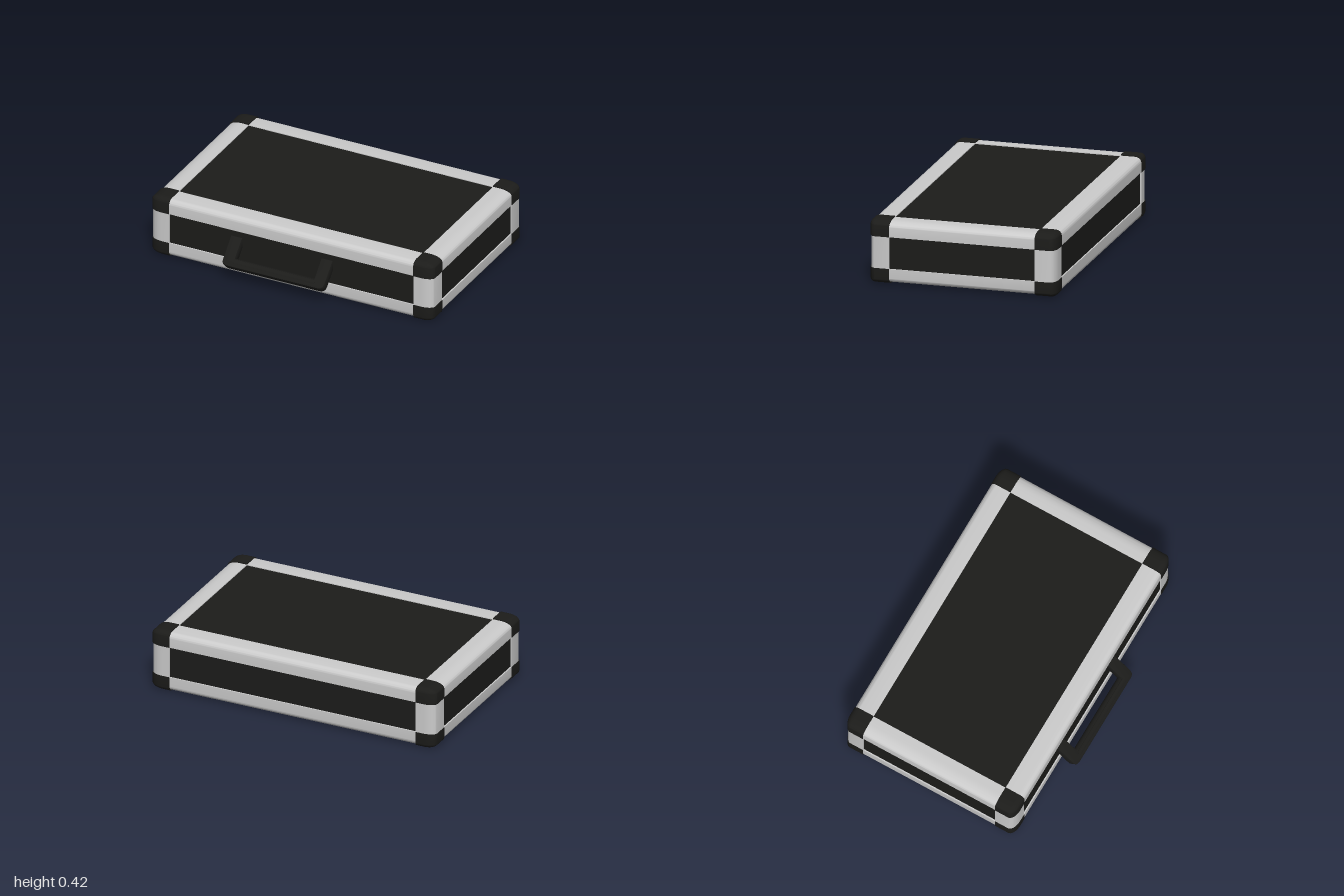
import * as THREE from 'three';
import { mergeVertices, toCreasedNormals } from 'three/addons/utils/BufferGeometryUtils.js';

const BLACK = new THREE.MeshStandardMaterial({ color: 0x1c1c1a });
const METAL = new THREE.MeshStandardMaterial({ color: 0xcccccc });

const HALF = [1, 0.209, 0.617];           // half size of the case
const TRIM = [0.135, 0.105, 0.138];       // trim width on each axis
const RADII = [0.08, 0.035, 0.042];       // rounding of the outer edges
const CENTER = [0, 0.209, -0.063];
const STEPS = 6;

// Block rounded on its outer side; a sign of 0 means it runs straight along that axis.
function trimBlock(name, signs, inset, material) {
  const size = signs.map((s, i) => (s ? TRIM[i] - inset[i] : 2 * (HALF[i] - TRIM[i])));
  const segs = signs.map((s) => (s ? STEPS + 1 : 1));
  let geo = new THREE.BoxGeometry(1, 1, 1, ...segs);
  const pos = geo.attributes.position;
  for (let v = 0; v < pos.count; v++) {
    const p = [pos.getX(v), pos.getY(v), pos.getZ(v)];
    // How far the vertex reaches into the rounded zone, 0 to 1 on each axis
    const e = signs.map((s, i) => (s ? Math.max(0, Math.round((s * p[i] + 0.5) * segs[i]) - 1) / STEPS : 0));
    const len = Math.hypot(...e);
    const k = len > 0 ? Math.max(...e) / len : 0;
    const q = signs.map((s, i) => {
      if (!s) return p[i] * size[i];
      const inner = HALF[i] - TRIM[i];
      if (s * p[i] < -0.49) return s * inner;
      return s * (inner + size[i] - RADII[i] + e[i] * k * RADII[i]);
    });
    pos.setXYZ(v, ...q);
  }
  geo.deleteAttribute('uv');
  geo.deleteAttribute('normal');
  geo = toCreasedNormals(mergeVertices(geo, 1e-5), 0.7);
  const mesh = new THREE.Mesh(geo, material);
  mesh.name = name;
  return mesh;
}

// Carrying handle: a U-shaped plate with rounded outer corners and a thicker grip
function createHandle() {
  const handle = new THREE.Group();
  handle.name = 'handle';
  const w = 0.36, arm = 0.08, top = 0.2, grip = 0.055, r = 0.04;
  const s = new THREE.Shape();
  s.moveTo(-w, top);
  s.lineTo(-w, r);
  s.quadraticCurveTo(-w, 0, -w + r, 0);
  s.lineTo(w - r, 0);
  s.quadraticCurveTo(w, 0, w, r);
  s.lineTo(w, top);
  s.lineTo(w - arm, top);
  s.lineTo(w - arm, grip);
  s.lineTo(-w + arm, grip);
  s.lineTo(-w + arm, top);
  s.closePath();
  const geo = new THREE.ExtrudeGeometry(s, {
    depth: 0.044, bevelEnabled: true, bevelThickness: 0.008, bevelSize: 0.008,
    bevelOffset: -0.008, bevelSegments: 2, curveSegments: 6,
  });
  geo.translate(0, 0, -0.022);
  const frame = new THREE.Mesh(toCreasedNormals(geo, 0.6), BLACK);
  frame.name = 'handleFrame';
  const bar = new THREE.Mesh(new THREE.CylinderGeometry(0.032, 0.032, 2 * (w - arm) + 0.02, 16), BLACK);
  bar.name = 'handleGrip';
  bar.rotation.z = Math.PI / 2;
  bar.position.y = 0.033;
  handle.add(frame, bar);
  handle.position.set(-0.07, 0.11, 0.665);
  handle.rotation.x = -Math.PI / 4;
  return handle;
}

export function createModel() {
  const model = new THREE.Group();
  model.name = 'briefcase';
  const body = new THREE.Group();
  body.name = 'case';
  body.position.set(...CENTER);

  // Black panels: one slab through the case per axis, framed by the trim
  ['sidePanels', 'topAndBottomPanels', 'frontAndBackPanels'].forEach((name, axis) => {
    const size = HALF.map((h, i) => 2 * (i === axis ? h - 0.012 : h - TRIM[i]));
    const panel = new THREE.Mesh(new THREE.BoxGeometry(...size), BLACK);
    panel.name = name;
    body.add(panel);
  });

  // Metal rails on the twelve edges and black caps on the eight corners
  const railInset = [0.003, 0.007, 0.003];
  const railNames = ['lengthRail', 'uprightRail', 'sideRail'];
  for (const x of [-1, 0, 1]) for (const y of [-1, 0, 1]) for (const z of [-1, 0, 1]) {
    const signs = [x, y, z];
    const zeros = signs.filter((s) => s === 0).length;
    if (zeros === 0) body.add(trimBlock('cornerCap', signs, [0, 0, 0], BLACK));
    if (zeros === 1) body.add(trimBlock(railNames[signs.indexOf(0)], signs, railInset, METAL));
  }

  model.add(body, createHandle());
  return model;
}
